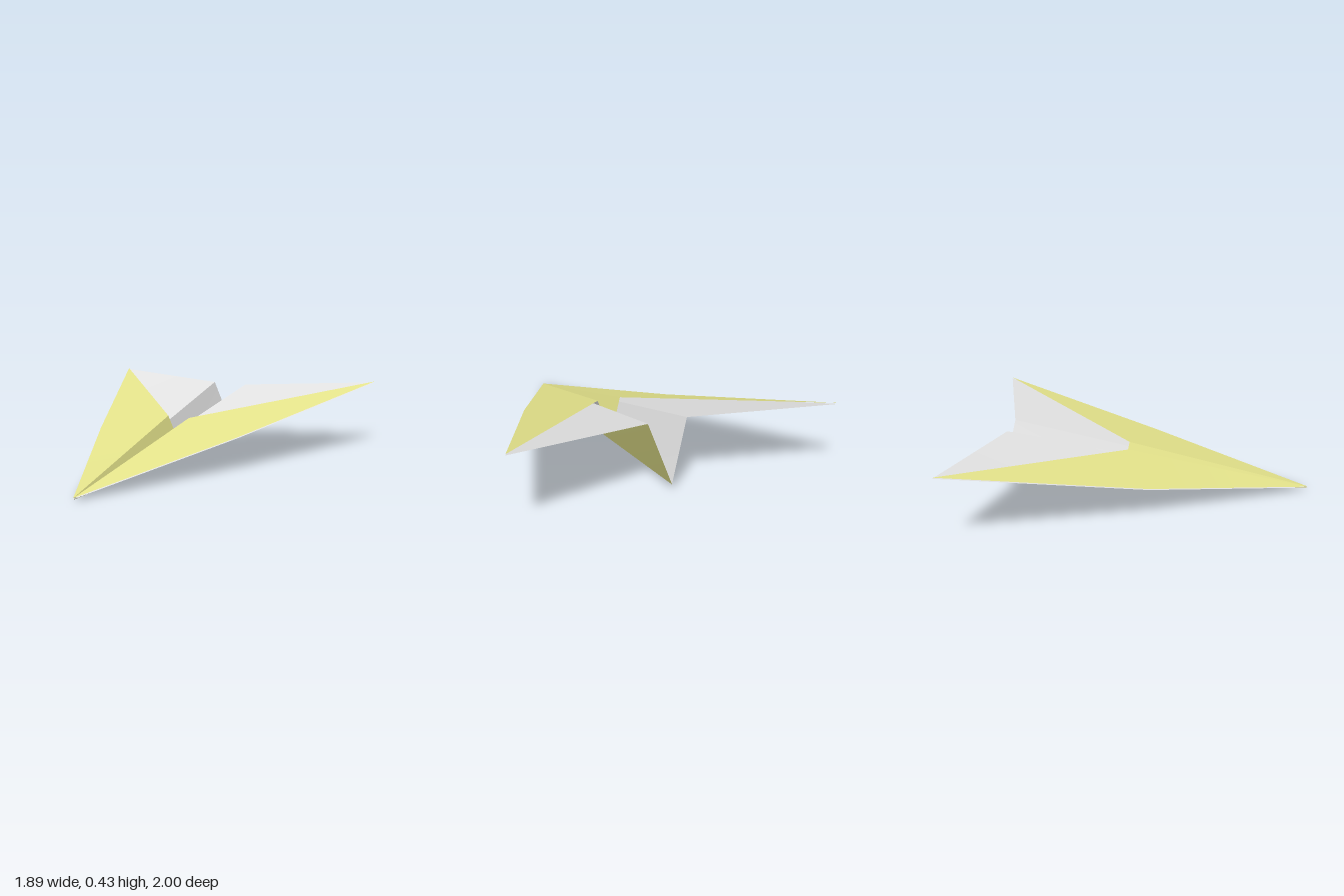
import * as THREE from 'three';

const outerPaper = new THREE.MeshStandardMaterial({ color: 0xe6e58c });
outerPaper.name = 'yellowPaper';
const innerPaper = new THREE.MeshStandardMaterial({ color: 0xe6e6e6 });
innerPaper.name = 'greyPaper';

const PAPER = 0.003; // height between the two faces of a sheet

// Turn a panel over while keeping the corner its fold fans from
const flip = ([first, ...rest]) => [first, ...rest.reverse()];

// One-sided panel, fanned from its first corner
function panel(name, corners, material, height) {
  const index = [];
  for (let i = 1; i < corners.length - 1; i++) index.push(0, i, i + 1);
  const geometry = new THREE.BufferGeometry();
  geometry.setAttribute('position', new THREE.Float32BufferAttribute(corners.flat(), 3));
  geometry.setIndex(index);
  geometry.computeVertexNormals();
  const mesh = new THREE.Mesh(geometry, material);
  mesh.name = name;
  mesh.position.y = height;
  return mesh;
}

// Thin sheet, coloured differently above and below; corners run anticlockwise from above
function sheet(name, corners, topMaterial, bottomMaterial, height) {
  const group = new THREE.Group();
  group.name = name;
  group.add(panel(name + 'Top', corners, topMaterial, height + PAPER));
  group.add(panel(name + 'Underside', flip(corners), bottomMaterial, height));
  return group;
}

export function createModel() {
  const plane = new THREE.Group();
  plane.name = 'paperPlane';

  // Points on the centre fold
  const nose = [0, 0.008, 1];
  const keelMiddle = [0, 0, 0];
  const keelTail = [0, 0.032, -0.865];
  const flapKeel = [0, 0.036, -0.13];

  // The two wings are bent to slightly different heights
  const sides = [
    { name: 'left', s: 1, middle: [0.48, 0.202, 0.06], tip: [0.945, 0.42, -0.99] },
    { name: 'right', s: -1, middle: [-0.475, 0.157, 0.06], tip: [-0.945, 0.378, -1] },
  ];

  for (const { name, s, middle, tip } of sides) {
    const hingeRear = [s * 0.115, 0.367, -0.8];
    const flapCorner = [s * 0.073, 0.247, -0.09];
    const wind = (corners) => (s > 0 ? corners : flip(corners));
    const side = new THREE.Group();
    side.name = name + 'Side';

    // Body wall and wing: grey inside, yellow outside
    side.add(sheet('bodyWall', wind([keelMiddle, nose, hingeRear, keelTail]), innerPaper, outerPaper, 0));
    side.add(sheet('wing', wind([middle, tip, hingeRear, nose]), innerPaper, outerPaper, 0));

    // Folded-over flap, lying on the wing and running down into the body
    side.add(sheet('wingFlap', wind([middle, tip, flapCorner, nose]), outerPaper, innerPaper, 2 * PAPER));
    side.add(sheet('bodyFlap', wind([nose, flapCorner, flapKeel]), outerPaper, innerPaper, 2 * PAPER));
    plane.add(side);
  }
  return plane;
}
